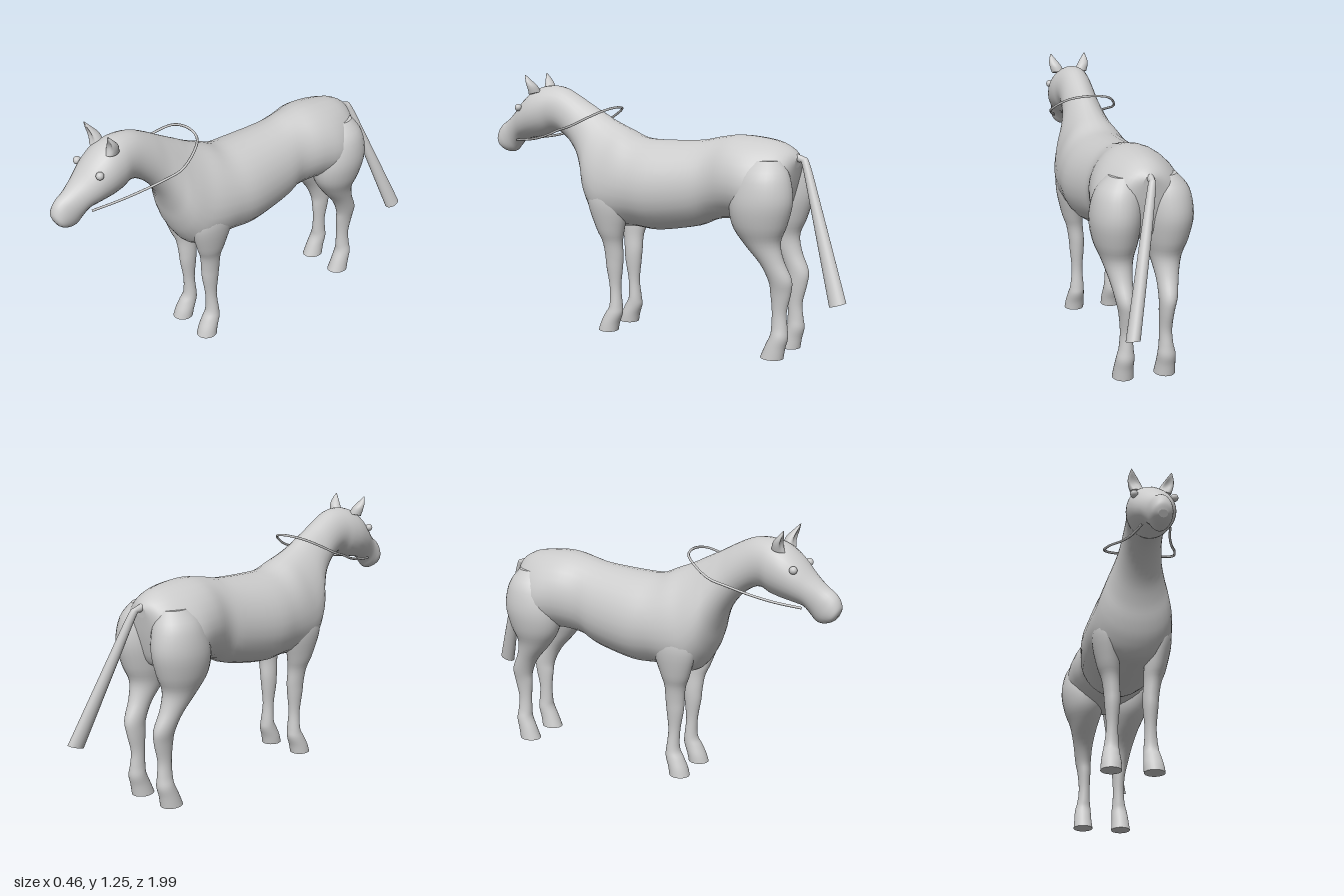
import * as THREE from 'three';

const material = new THREE.MeshStandardMaterial({ color: 0xcccccc });

// Smooth loft through oval rings. Each row is
// [z1, y1, z2, y2, halfWidth, xCentre, egg, dent]: two opposite points of the ring
// in side profile, its width, and how much it widens or hollows.
function loft(name, rows, side = 1, steps = 4, sides = 28) {
  const at = (i, k) => rows[Math.min(Math.max(i, 0), rows.length - 1)][k] ?? 0;
  const spline = (i, t, k) => {
    const [a, b, c, d] = [at(i - 1, k), at(i, k), at(i + 1, k), at(i + 2, k)];
    return b + 0.5 * t * (c - a + t * (2 * a - 5 * b + 4 * c - d + t * (3 * (b - c) + d - a)));
  };
  const pos = [], index = [];
  const count = (rows.length - 1) * steps + 1;
  for (let n = 0; n < count; n++) {
    const i = Math.floor(n / steps), t = (n % steps) / steps;
    const [z1, y1, z2, y2, w, x, egg, dent] = [0, 1, 2, 3, 4, 5, 6, 7].map((k) => spline(i, t, k));
    for (let j = 0; j < sides; j++) {
      const a = (j / sides) * Math.PI * 2, c = Math.cos(a);
      const m = (c - dent * Math.max(0, c) ** 3) / 2;
      pos.push(side * x + w * Math.sin(a) * (1 - egg * c),
        (y1 + y2) / 2 + m * (y1 - y2), (z1 + z2) / 2 + m * (z1 - z2));
    }
  }
  for (let n = 0; n < count - 1; n++) {
    for (let j = 0; j < sides; j++) {
      const a = n * sides + j, b = n * sides + (j + 1) % sides;
      index.push(a, a + sides, b, b, a + sides, b + sides);
    }
  }
  // Flat end caps on their own vertices
  for (const end of [0, count - 1]) {
    const first = pos.length / 3, ring = pos.slice(end * sides * 3, (end + 1) * sides * 3);
    pos.push(...ring);
    const mid = [0, 1, 2].map((k) => ring.reduce((s, v, i) => (i % 3 === k ? s + v : s), 0) / sides);
    pos.push(...mid);
    for (let j = 0; j < sides; j++) {
      const a = first + j, b = first + (j + 1) % sides;
      index.push(first + sides, ...(end ? [b, a] : [a, b]));
    }
  }
  const geo = new THREE.BufferGeometry();
  geo.setAttribute('position', new THREE.Float32BufferAttribute(pos, 3));
  geo.setIndex(index);
  geo.computeVertexNormals();
  const mesh = new THREE.Mesh(geo, material);
  mesh.name = name;
  return mesh;
}

// Rump, barrel and chest, up the neck
const trunk = [
  [-0.695, 0.925, -0.69, 0.87, 0.03, 0, 0.1],
  [-0.665, 0.955, -0.67, 0.75, 0.11, 0, 0.15],
  [-0.6, 0.985, -0.63, 0.64, 0.17, 0, 0.15],
  [-0.5, 1.0, -0.53, 0.61, 0.205, 0, 0.12],
  [-0.4, 1.003, -0.41, 0.615, 0.192, 0, 0.05],
  [-0.3, 0.987, -0.3, 0.6, 0.167, 0, 0.05],
  [-0.2, 0.967, -0.2, 0.558, 0.18, 0, 0.05],
  [0, 0.957, 0, 0.52, 0.205, 0, 0.05],
  [0.11, 0.962, 0.13, 0.525, 0.2, 0, 0.08],
  [0.19, 0.995, 0.23, 0.515, 0.192, 0, 0.15],
  [0.25, 1.02, 0.315, 0.52, 0.18, 0, 0.22],
  [0.3, 1.043, 0.37, 0.585, 0.165, 0, 0.28],
  [0.34, 1.065, 0.402, 0.66, 0.147, 0, 0.3],
  [0.38, 1.085, 0.425, 0.745, 0.125, 0, 0.25],
  [0.44, 1.117, 0.46, 0.83, 0.103, 0, 0.18],
];
// Neck end, skull, muzzle and lips
const head = [
  [0.5, 1.15, 0.515, 0.905, 0.092, 0, 0.1],
  [0.57, 1.182, 0.58, 0.955, 0.088, 0, 0.05],
  [0.63, 1.192, 0.63, 0.965, 0.093],
  [0.69, 1.187, 0.675, 0.945, 0.105],
  [0.75, 1.165, 0.73, 0.93, 0.109],
  [0.81, 1.118, 0.79, 0.918, 0.098],
  [0.87, 1.055, 0.835, 0.905, 0.077],
  [0.925, 1.008, 0.865, 0.873, 0.06],
  [0.965, 0.982, 0.887, 0.848, 0.053],
  [0.988, 0.955, 0.918, 0.84, 0.049],
  [0.999, 0.92, 0.952, 0.848, 0.04],
  [0.992, 0.89, 0.975, 0.862, 0.02],
];
const hindLeg = [
  [-0.51, 0.91, -0.65, 0.91, 0.06, 0.09],
  [-0.46, 0.84, -0.695, 0.84, 0.1, 0.108],
  [-0.42, 0.72, -0.715, 0.73, 0.113, 0.117],
  [-0.43, 0.615, -0.69, 0.62, 0.098, 0.115],
  [-0.485, 0.53, -0.66, 0.54, 0.07, 0.11],
  [-0.565, 0.44, -0.675, 0.46, 0.05, 0.105],
  [-0.605, 0.36, -0.714, 0.375, 0.04, 0.098],
  [-0.612, 0.3, -0.71, 0.31, 0.033, 0.092],
  [-0.62, 0.22, -0.69, 0.22, 0.028, 0.09],
  [-0.62, 0.15, -0.695, 0.15, 0.032, 0.092],
  [-0.617, 0.11, -0.7, 0.1, 0.04, 0.095],
  [-0.595, 0.06, -0.688, 0.05, 0.043, 0.097],
  [-0.57, 0, -0.68, 0, 0.048, 0.097],
];
const frontLeg = [
  [0.32, 0.8, 0.16, 0.8, 0.04, 0.12],
  [0.355, 0.66, 0.13, 0.66, 0.06, 0.126],
  [0.318, 0.52, 0.165, 0.52, 0.052, 0.11],
  [0.29, 0.45, 0.183, 0.45, 0.041, 0.098],
  [0.28, 0.38, 0.185, 0.38, 0.038, 0.09],
  [0.275, 0.32, 0.19, 0.32, 0.035, 0.088],
  [0.258, 0.22, 0.2, 0.22, 0.027, 0.088],
  [0.257, 0.13, 0.192, 0.13, 0.034, 0.09],
  [0.28, 0.085, 0.19, 0.09, 0.04, 0.093],
  [0.302, 0.04, 0.207, 0.04, 0.046, 0.095],
  [0.315, 0, 0.215, 0, 0.048, 0.097],
];
const ear = [
  [0.757, 1.246, 0.753, 1.246, 0.002, 0.091],
  [0.755, 1.208, 0.722, 1.215, 0.021, 0.083, 0, 0.7],
  [0.752, 1.175, 0.7, 1.19, 0.03, 0.072, 0, 0.6],
  [0.75, 1.145, 0.69, 1.16, 0.033, 0.06],
];
const tail = [
  [-0.66, 0.9, -0.66, 0.94, 0.02, 0],
  [-0.7, 0.895, -0.72, 0.922, 0.014, 0],
  [-0.718, 0.88, -0.75, 0.895, 0.018, 0.008],
  [-0.785, 0.69, -0.832, 0.705, 0.024, 0.055],
  [-0.92, 0.295, -0.995, 0.32, 0.03, 0.153],
];

export function createModel() {
  const horse = new THREE.Group();
  horse.name = 'horse';
  horse.add(loft('bodyAndHead', [...trunk, ...head]), loft('tail', tail));

  for (const side of [1, -1]) {
    const label = side > 0 ? 'left' : 'right';
    horse.add(loft(label + 'HindLeg', hindLeg, side));
    horse.add(loft(label + 'FrontLeg', frontLeg, side));
    horse.add(loft(label + 'Ear', ear, side));
    const eye = new THREE.Mesh(new THREE.SphereGeometry(0.018, 16, 10), material);
    eye.name = label + 'Eye';
    eye.position.set(side * 0.089, 1.08, 0.805);
    horse.add(eye);
  }

  // Reins: one strap from bit to bit, looping over the neck
  const half = [
    [0.06, 0.91, 0.84], [0.085, 0.925, 0.72], [0.115, 0.95, 0.62], [0.15, 0.985, 0.52],
    [0.163, 1.01, 0.44], [0.14, 1.05, 0.36], [0.09, 1.085, 0.295],
  ];
  const path = [...half, [0, 1.097, 0.275], ...half.slice().reverse().map(([x, y, z]) => [-x, y, z])];
  const curve = new THREE.CatmullRomCurve3(path.map((p) => new THREE.Vector3(...p)));
  const reins = new THREE.Mesh(new THREE.TubeGeometry(curve, 80, 0.006, 6), material);
  reins.name = 'reins';
  horse.add(reins);
  return horse;
}
